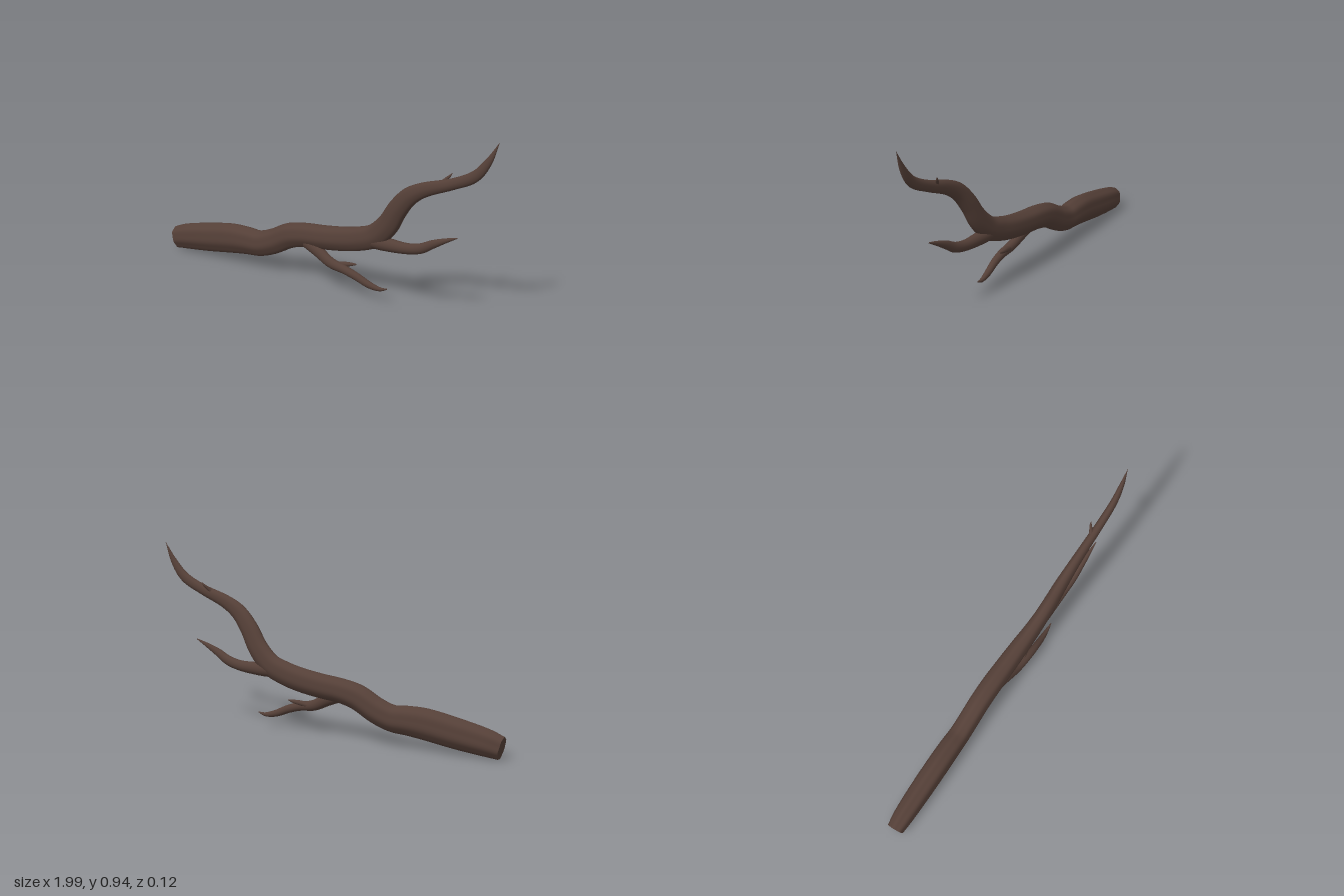
import * as THREE from 'three';

// Sweeps a lobed oval along points [x, y, z, radius in the xy plane, radius in z].
function sweep(points, { sides = 16, steps = 6, groove = 0 } = {}) {
  const path = new THREE.CatmullRomCurve3(points.map(p => new THREE.Vector3(p[0], p[1], p[2])), false, 'catmullrom', 0.5);
  const radii = new THREE.CatmullRomCurve3(points.map(p => new THREE.Vector3(p[3], p[4] ?? p[3], 0)), false, 'catmullrom', 0.5);
  const rings = (points.length - 1) * steps;
  const pos = [], index = [];
  const zAxis = new THREE.Vector3(0, 0, 1);
  for (let i = 0; i <= rings; i++) {
    const t = i / rings;
    const c = path.getPoint(t), r = radii.getPoint(t);
    const tangent = path.getTangent(t);
    const up = new THREE.Vector3().crossVectors(zAxis, tangent).normalize();
    const side = new THREE.Vector3().crossVectors(tangent, up).normalize();
    for (let j = 0; j < sides; j++) {
      const a = (j / sides) * Math.PI * 2;
      // bark grooves fade out toward the thin end
      const k = 1 + groove * (1 - t) * (Math.cos(7 * a + 1.2 * t) + 0.5 * Math.cos(4 * a + 2 + 3 * t));
      const v = c.clone()
        .addScaledVector(up, Math.max(r.x, 0.0005) * k * Math.cos(a))
        .addScaledVector(side, Math.max(r.y, 0.0005) * k * Math.sin(a));
      pos.push(v.x, v.y, v.z);
    }
  }
  for (let i = 0; i < rings; i++) {
    for (let j = 0; j < sides; j++) {
      const a = i * sides + j, b = i * sides + (j + 1) % sides;
      index.push(a, b, a + sides, b, b + sides, a + sides);
    }
  }
  // Flat cut at the thick end, with its own vertices for a crisp rim
  const start = pos.length / 3;
  pos.push(...pos.slice(0, sides * 3), points[0][0], points[0][1], points[0][2]);
  for (let j = 0; j < sides; j++) index.push(start + sides, start + (j + 1) % sides, start + j);

  const geometry = new THREE.BufferGeometry();
  geometry.setAttribute('position', new THREE.Float32BufferAttribute(pos, 3));
  geometry.setIndex(index);
  geometry.computeVertexNormals();
  return geometry;
}

export function createModel() {
  const group = new THREE.Group();
  group.name = 'branch';
  const bark = new THREE.MeshStandardMaterial({ color: 0x543f37 });
  bark.name = 'darkBark';

  const add = (name, points, options) => {
    const mesh = new THREE.Mesh(sweep(points, options), bark);
    mesh.name = name;
    group.add(mesh);
  };

  // Main limb, from the cut end to the upswept tip
  add('mainLimb', [
    [-0.985, 0.059, 0.008, 0.058, 0.043],
    [-0.90, 0.080, 0.004, 0.069, 0.052],
    [-0.75, 0.106, 0, 0.077, 0.057],
    [-0.60, 0.131, -0.003, 0.079, 0.058],
    [-0.50, 0.139, -0.006, 0.074, 0.057],
    [-0.41, 0.142, -0.008, 0.068, 0.054],
    [-0.32, 0.173, -0.010, 0.067, 0.053],
    [-0.22, 0.225, -0.010, 0.066, 0.053],
    [-0.12, 0.250, -0.010, 0.063, 0.053],
    [0, 0.263, -0.009, 0.063, 0.051],
    [0.12, 0.281, -0.007, 0.063, 0.047],
    [0.22, 0.305, -0.003, 0.062, 0.042],
    [0.31, 0.341, 0, 0.060, 0.038],
    [0.39, 0.418, 0.007, 0.057, 0.036],
    [0.45, 0.512, 0.016, 0.052, 0.033],
    [0.52, 0.592, 0.024, 0.045, 0.028],
    [0.61, 0.646, 0.027, 0.036, 0.024],
    [0.75, 0.698, 0.028, 0.028, 0.021],
    [0.87, 0.757, 0.028, 0.027, 0.018],
    [0.94, 0.840, 0.025, 0.018, 0.012],
    [0.99, 0.940, 0.020, 0, 0],
  ], { sides: 42, groove: 0.035 });

  // Middle fork
  add('middleFork', [
    [0.22, 0.315, 0, 0.030],
    [0.31, 0.312, 0, 0.037, 0.034],
    [0.40, 0.312, 0.002, 0.034, 0.030],
    [0.50, 0.317, 0.005, 0.028, 0.024],
    [0.58, 0.336, 0.008, 0.026, 0.021],
    [0.65, 0.374, 0.010, 0.021, 0.016],
    [0.72, 0.407, 0.010, 0.012, 0.010],
    [0.785, 0.434, 0.010, 0.002],
  ]);

  // Lower fork
  add('lowerFork', [
    [-0.10, 0.222, 0.005, 0.035, 0.030],
    [-0.02, 0.188, 0.015, 0.032, 0.026],
    [0.06, 0.150, 0.024, 0.028, 0.023],
    [0.15, 0.133, 0.028, 0.023, 0.021],
    [0.22, 0.112, 0.026, 0.021, 0.019],
    [0.29, 0.083, 0.020, 0.018, 0.016],
    [0.35, 0.071, 0.014, 0.011, 0.010],
    [0.395, 0.080, 0.010, 0.002],
  ]);

  // Small twigs
  add('lowerTwig', [
    [0.08, 0.143, 0.022, 0.016],
    [0.13, 0.154, 0.014, 0.014],
    [0.17, 0.160, 0.007, 0.010],
    [0.205, 0.166, 0.003, 0.003],
  ], { sides: 10, steps: 4 });
  add('upperTwig', [
    [0.695, 0.693, 0.022, 0.012],
    [0.712, 0.714, 0.007, 0.008],
    [0.724, 0.727, -0.003, 0.006],
    [0.734, 0.742, -0.008, 0.001],
  ], { sides: 10, steps: 4 });

  return group;
}
